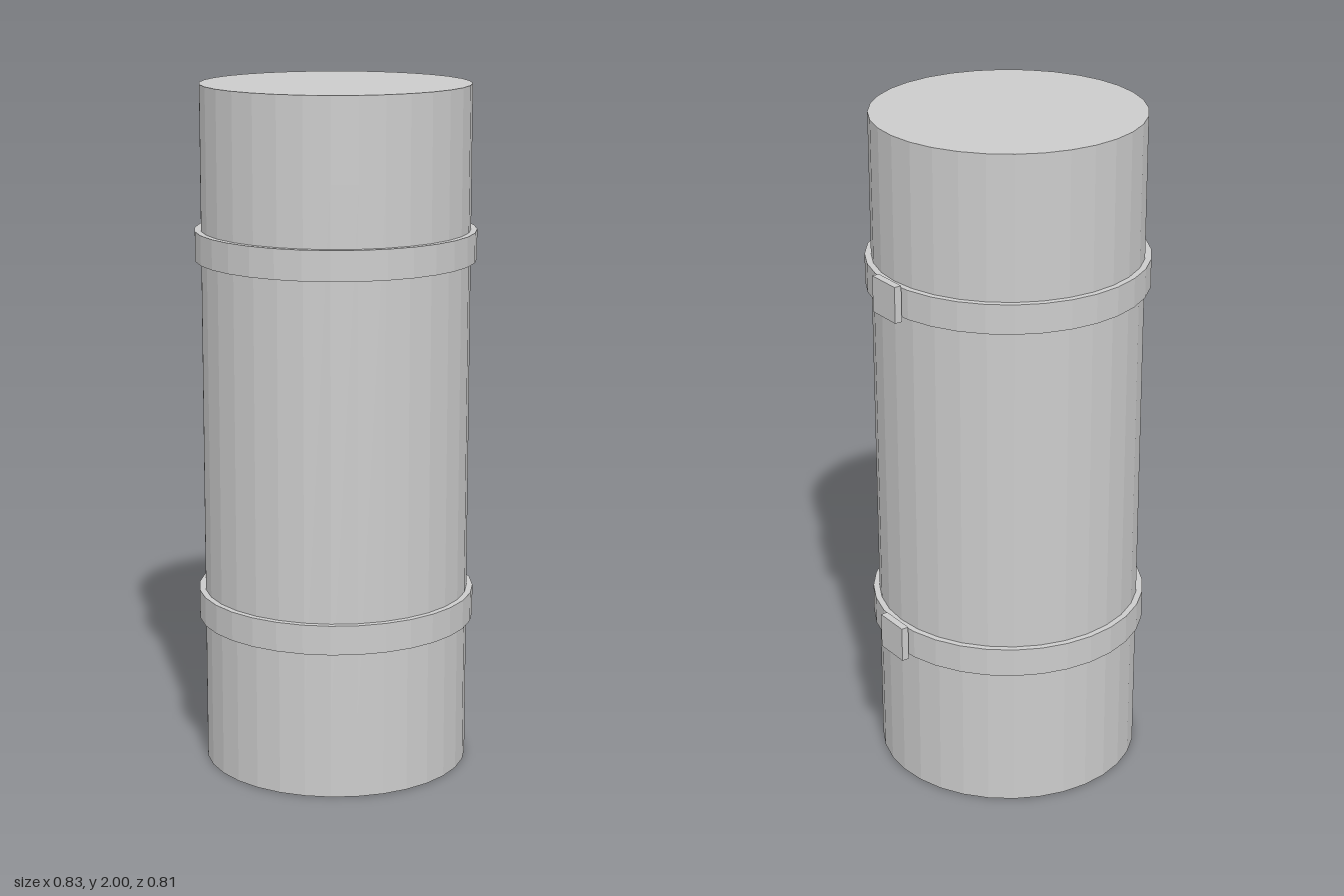
import * as THREE from 'three';

export function createModel() {
  const model = new THREE.Group();
  model.name = 'strappedCanister';
  const material = new THREE.MeshStandardMaterial({ color: 0xcccccc, flatShading: true });
  const AXIS_X = -0.012; // the buckles on +x push the tube off centre
  const SIDES = 32;

  function add(name, geometry, x, y, z = 0) {
    const mesh = new THREE.Mesh(geometry, material);
    mesh.name = name;
    mesh.position.set(x, y, z);
    model.add(mesh);
  }

  function drum(name, radius, bottom, top) {
    const geometry = new THREE.CylinderGeometry(radius, radius, top - bottom, SIDES);
    add(name, geometry, AXIS_X, (bottom + top) / 2);
  }

  // Tube body with flush end sections
  drum('lowerEnd', 0.388, 0, 0.25);
  drum('body', 0.388, 0.25, 1.76);
  drum('upperEnd', 0.388, 1.76, 2);

  // Two straps, each with a flat buckle on the left side
  for (const [label, y] of [['lower', 0.477], ['upper', 1.542]]) {
    drum(label + 'Strap', 0.406, y - 0.043, y + 0.043);
    add(label + 'Buckle', new THREE.BoxGeometry(0.022, 0.106, 0.109), 0.406, y, -0.008);
  }

  return model;
}
